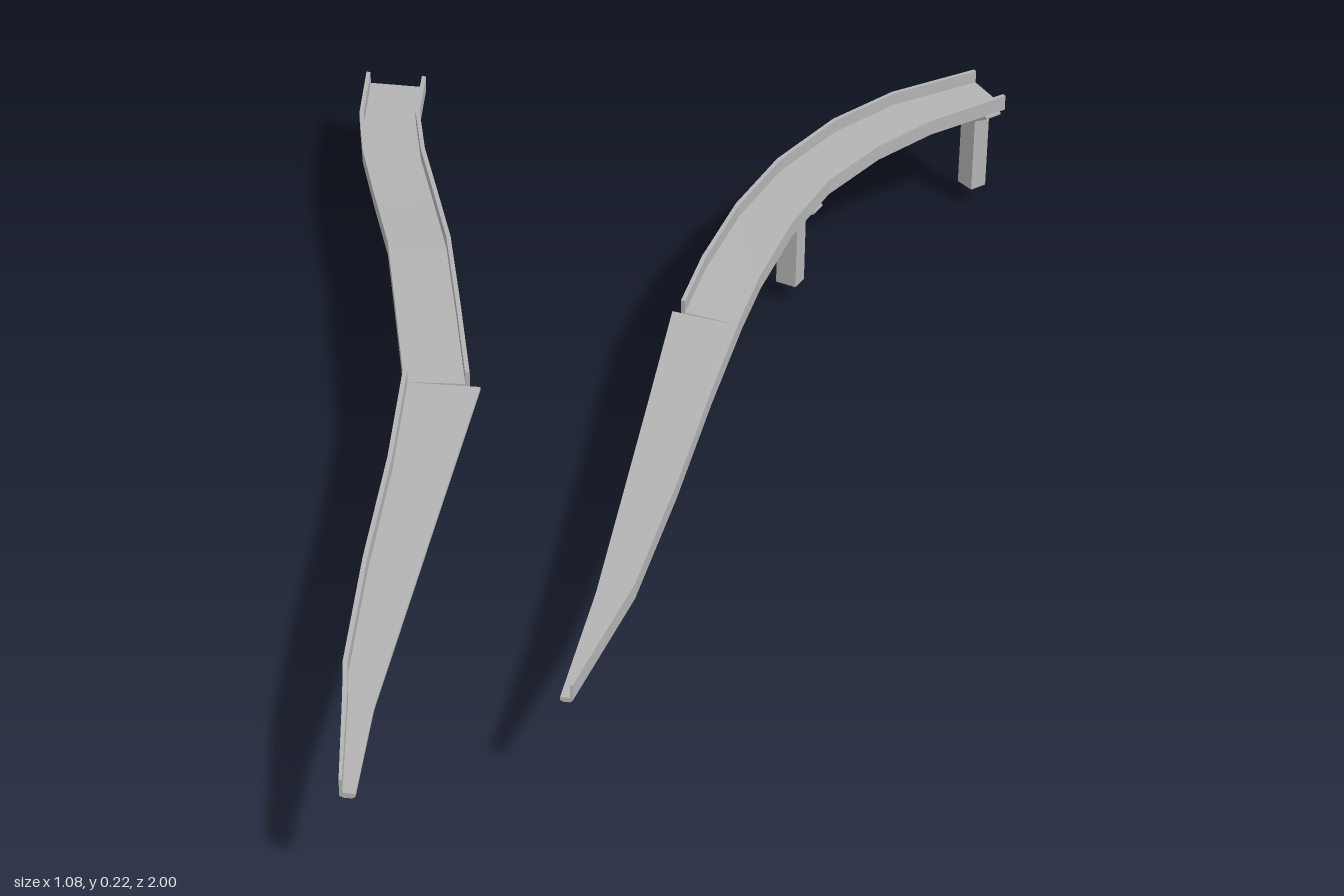
import * as THREE from 'three';

const concrete = new THREE.MeshStandardMaterial({ color: 0xb3b3b3 });
concrete.name = 'concrete';

// Stations run front to back: [outerX, outerZ, innerX, innerZ, parapetTopY]
const ramps = {
  right: {
    side: -1,
    taper: [
      [-0.177, 0.995, -0.155, 0.995, 0.197], [-0.211, 0.81, -0.168, 0.81, 0.197],
      [-0.225, 0.74, -0.168, 0.74, 0.197], [-0.247, 0.5, -0.168, 0.5, 0.197],
      [-0.262, 0.25, -0.168, 0.25, 0.197], [-0.285, 0.02, -0.168, 0.015, 0.196],
    ],
    bridge: [
      [-0.285, 0.02, -0.185, 0.01, 0.196], [-0.335, -0.17, -0.237, -0.19, 0.192],
      [-0.385, -0.36, -0.29, -0.39, 0.182], [-0.44, -0.52, -0.343, -0.55, 0.17],
      [-0.49, -0.67, -0.39, -0.69, 0.16], [-0.522, -0.8, -0.424, -0.82, 0.152],
      [-0.54, -0.945, -0.438, -0.945, 0.147],
    ],
    // [x, z, baseY, topY, turn]
    piers: [[-0.309, -0.27, 0, 0.153, 0.27], [-0.46, -0.745, 0.06, 0.118, 0.2]],
  },
  left: {
    side: 1,
    taper: [
      [0.092, 0.745, 0.075, 0.745, 0.196], [0.14, 0.5, 0.085, 0.5, 0.196],
      [0.162, 0.25, 0.085, 0.25, 0.196], [0.178, 0, 0.085, 0, 0.196],
      [0.196, -0.21, 0.085, -0.235, 0.199],
    ],
    bridge: [
      [0.196, -0.21, 0.098, -0.235, 0.199], [0.21, -0.32, 0.113, -0.36, 0.204],
      [0.24, -0.47, 0.145, -0.515, 0.21], [0.283, -0.6, 0.193, -0.655, 0.215],
      [0.35, -0.715, 0.267, -0.79, 0.218], [0.425, -0.81, 0.352, -0.895, 0.217],
      [0.537, -0.92, 0.478, -1, 0.212],
    ],
    piers: [[0.227, -0.583, 0.033, 0.178, -0.36], [0.488, -0.94, 0.03, 0.178, -0.8]],
  },
};

// Cross-section as [distance from outer edge, height], parapets above a haunched slab
function profile(w, top, innerWall) {
  const t = Math.min(0.007, w * 0.2);
  const deck = top - 0.021;
  const edge = top - 0.026;
  const belly = edge - 0.014 * Math.min(1, w / 0.1);
  const inner = innerWall
    ? [[w - t, deck], [w - t, top], [w, top]]
    : [[w, deck]];
  return [[0, top], [t, top], [t, deck], ...inner,
    [w, edge], [w * 0.78, belly], [w * 0.22, belly], [0, edge]];
}

// Faceted sweep of the cross-section through the stations, closed at both ends
function sweep(stations, side, innerWall, name) {
  const flats = [];
  const rings = stations.map(([ox, oz, ix, iz, top]) => {
    const w = Math.hypot(ix - ox, iz - oz);
    let pts = profile(w, top, innerWall);
    if (side < 0) pts = pts.reverse();
    flats.push(pts.map(([u, y]) => new THREE.Vector2(-side * u, y)));
    return pts.map(([u, y]) => [ox + (ix - ox) * u / w, y, oz + (iz - oz) * u / w]);
  });
  const pos = [];
  const tri = (a, b, c) => pos.push(...a, ...b, ...c);
  const n = rings[0].length;
  for (let i = 0; i < rings.length - 1; i++) {
    for (let j = 0; j < n; j++) {
      const k = (j + 1) % n;
      const [a, b, c, d] = [rings[i][j], rings[i + 1][j], rings[i + 1][k], rings[i][k]];
      tri(a, b, c);
      tri(a, c, d);
    }
  }
  const last = rings.length - 1;
  for (const [a, b, c] of THREE.ShapeUtils.triangulateShape(flats[0], [])) {
    tri(rings[0][a], rings[0][b], rings[0][c]);
  }
  for (const [a, b, c] of THREE.ShapeUtils.triangulateShape(flats[last], [])) {
    tri(rings[last][a], rings[last][c], rings[last][b]);
  }
  const geo = new THREE.BufferGeometry();
  geo.setAttribute('position', new THREE.Float32BufferAttribute(pos, 3));
  geo.computeVertexNormals();
  const mesh = new THREE.Mesh(geo, concrete);
  mesh.name = name;
  return mesh;
}

// Column with a flared head, turned across the roadway
function makePier([x, z, base, top, turn], name) {
  const a = 0.0175, head = 0.046, neck = top - 0.017;
  const outline = [[-a, base], [a, base], [a, neck], [head, top], [head, top + 0.004],
    [-head, top + 0.004], [-head, top], [-a, neck]];
  const shape = new THREE.Shape(outline.map(([u, y]) => new THREE.Vector2(u, y)));
  const geo = new THREE.ExtrudeGeometry(shape, { depth: 0.03, bevelEnabled: false });
  geo.translate(0, 0, -0.015);
  const mesh = new THREE.Mesh(geo, concrete);
  mesh.position.set(x, 0, z);
  mesh.rotation.y = turn;
  mesh.name = name;
  return mesh;
}

export function createModel() {
  const model = new THREE.Group();
  model.name = 'highwayRamps';
  for (const [key, r] of Object.entries(ramps)) {
    const ramp = new THREE.Group();
    ramp.name = key + 'Ramp';
    ramp.add(sweep(r.taper, r.side, false, 'mergeLane'));
    ramp.add(sweep(r.bridge, r.side, true, 'rampBridge'));
    r.piers.forEach((p, i) => ramp.add(makePier(p, i ? 'backPier' : 'frontPier')));
    model.add(ramp);
  }
  return model;
}
